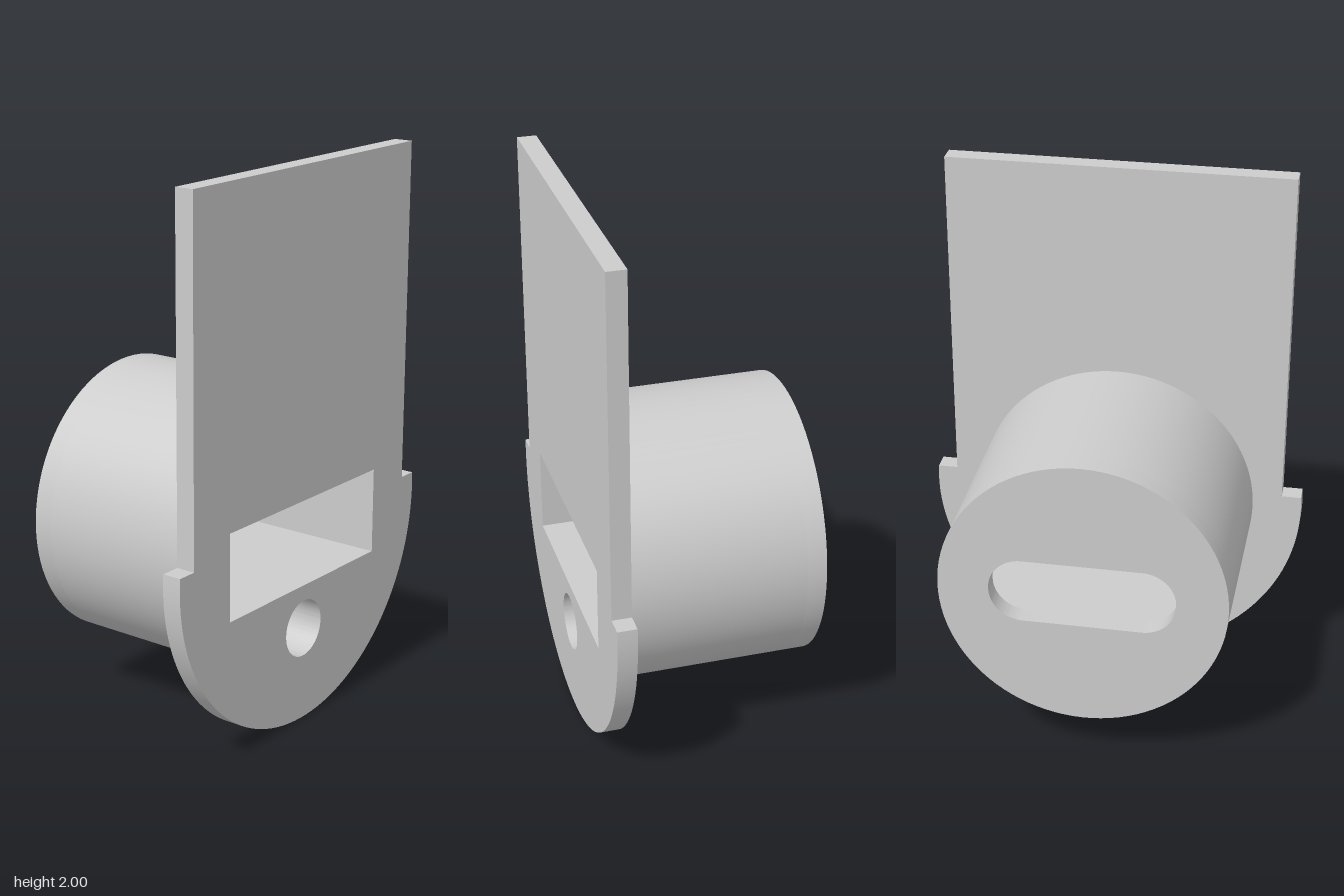
import * as THREE from 'three';
import { toCreasedNormals } from 'three/addons/utils/BufferGeometryUtils.js';

const CY = 0.696;      // height of the shared centre of the round foot and barrel
const FRONT = 0.4, PLATE_BACK = 0.33, FLOOR = -0.33, BACK = -0.4;

// Rectangular pocket opening
function pocketHole() {
  const p = new THREE.Path();
  p.moveTo(-0.43, 0.508);
  p.lineTo(0.43, 0.508);
  p.lineTo(0.43, 0.825);
  p.lineTo(-0.43, 0.825);
  p.closePath();
  return p;
}

// Round blind hole below the pocket
function pinHole() {
  return new THREE.Path().absarc(0, 0.345, 0.105, 0, Math.PI * 2, true);
}

// Rounded slot through the back wall
function slotHole() {
  const r = 0.12, x = 0.332 - r, y0 = 0.576 + r, y1 = 0.822 - r;
  const p = new THREE.Path();
  p.absarc(x, y1, r, 0, Math.PI / 2, false);
  p.absarc(-x, y1, r, Math.PI / 2, Math.PI, false);
  p.absarc(-x, y0, r, Math.PI, Math.PI * 1.5, false);
  p.absarc(x, y0, r, Math.PI * 1.5, Math.PI * 2, false);
  p.closePath();
  return p;
}

function disc() {
  return new THREE.Shape().absarc(0, CY, 0.515, 0, Math.PI * 2, false);
}

// Straight panel on a round foot with small shoulders
function plateOutline() {
  const r = 0.696, shoulder = 0.746, a = Math.asin((shoulder - CY) / r);
  const s = new THREE.Shape();
  s.moveTo(0.622, shoulder);
  s.lineTo(0.622, 2);
  s.lineTo(-0.622, 2);
  s.lineTo(-0.622, shoulder);
  s.absarc(0, CY, r, Math.PI - a, Math.PI * 2 + a, false);
  s.closePath();
  return s;
}

export function createModel() {
  const group = new THREE.Group();
  const grey = new THREE.MeshStandardMaterial({ color: 0xcccccc });
  grey.name = 'light grey';

  function slab(name, shape, holes, z0, z1) {
    shape.holes.push(...holes);
    const geo = new THREE.ExtrudeGeometry(shape, { depth: z1 - z0, bevelEnabled: false, curveSegments: 48 });
    geo.translate(0, 0, z0);
    const mesh = new THREE.Mesh(toCreasedNormals(geo, 0.5), grey);
    mesh.name = name;
    group.add(mesh);
  }

  slab('facePlate', plateOutline(), [pocketHole(), pinHole()], PLATE_BACK, FRONT);
  slab('barrel', disc(), [pocketHole(), pinHole()], FLOOR, PLATE_BACK);
  slab('barrelBackWall', disc(), [slotHole()], BACK, FLOOR);
  return group;
}
